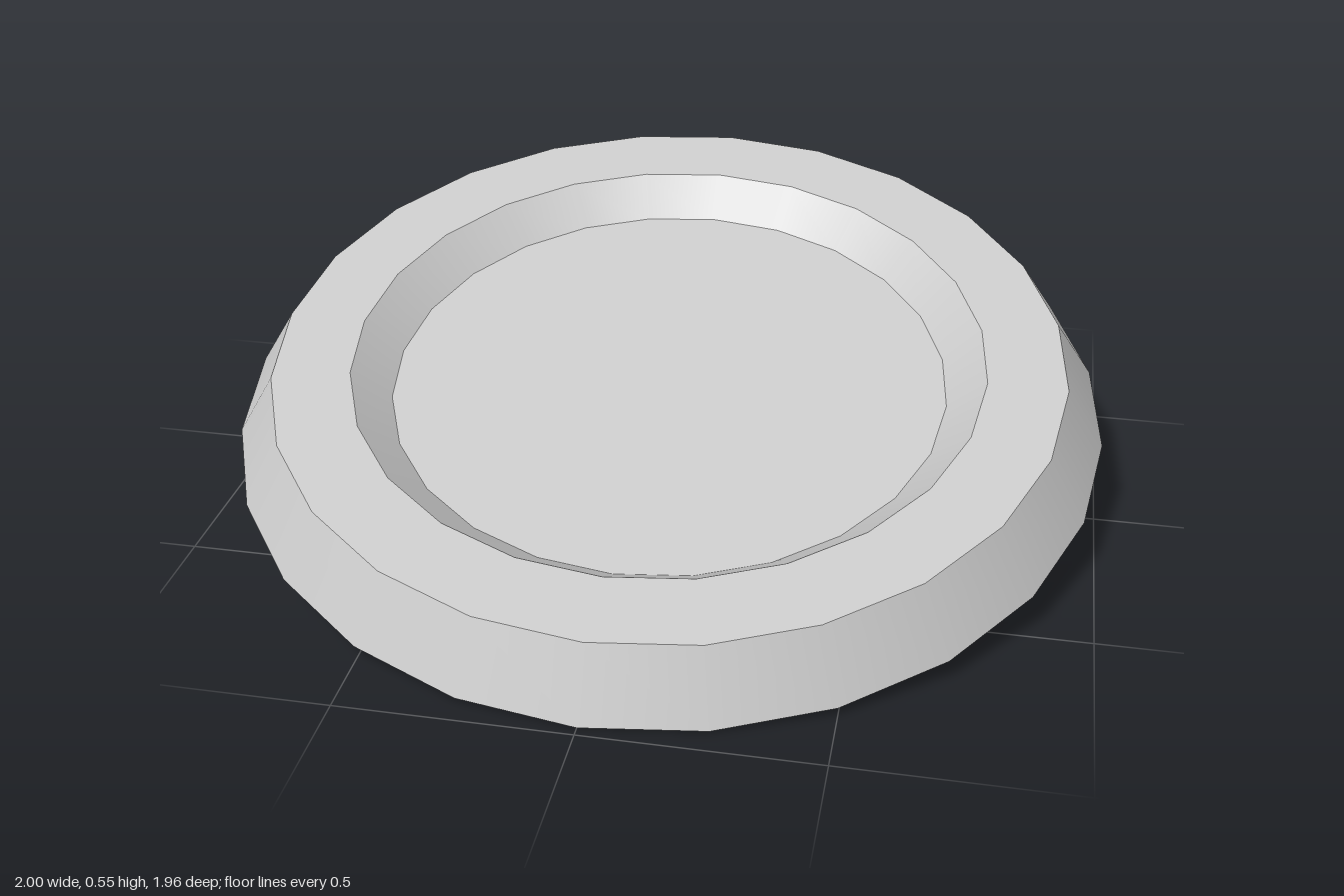
import * as THREE from 'three';

const SIDES = 24;
const material = new THREE.MeshStandardMaterial({ color: 0xcccccc, side: THREE.DoubleSide });

// One conical or flat band of the dish, swept between two [radius, height] points
function band(name, from, to) {
  const profile = [new THREE.Vector2(...from), new THREE.Vector2(...to)];
  const mesh = new THREE.Mesh(new THREE.LatheGeometry(profile, SIDES), material);
  mesh.name = name;
  return mesh;
}

export function createModel() {
  const model = new THREE.Group();
  model.name = 'tiltedDish';

  // Thin shell, open underneath: separate bands keep the edges between them sharp
  const dish = new THREE.Group();
  dish.name = 'dish';
  dish.add(
    band('outerWall', [1, 0], [0.91, 0.15]),
    band('flatRim', [0.91, 0.15], [0.73, 0.15]),
    band('recessWall', [0.73, 0.15], [0.643, 0.07]),
    band('recessFloor', [0.643, 0.07], [0, 0.07]),
  );

  // Leans down toward the front, with a very slight roll to its left
  dish.rotation.set(THREE.MathUtils.degToRad(12.15), 0, THREE.MathUtils.degToRad(-1));
  dish.position.y = 0.212;
  model.add(dish);
  return model;
}
